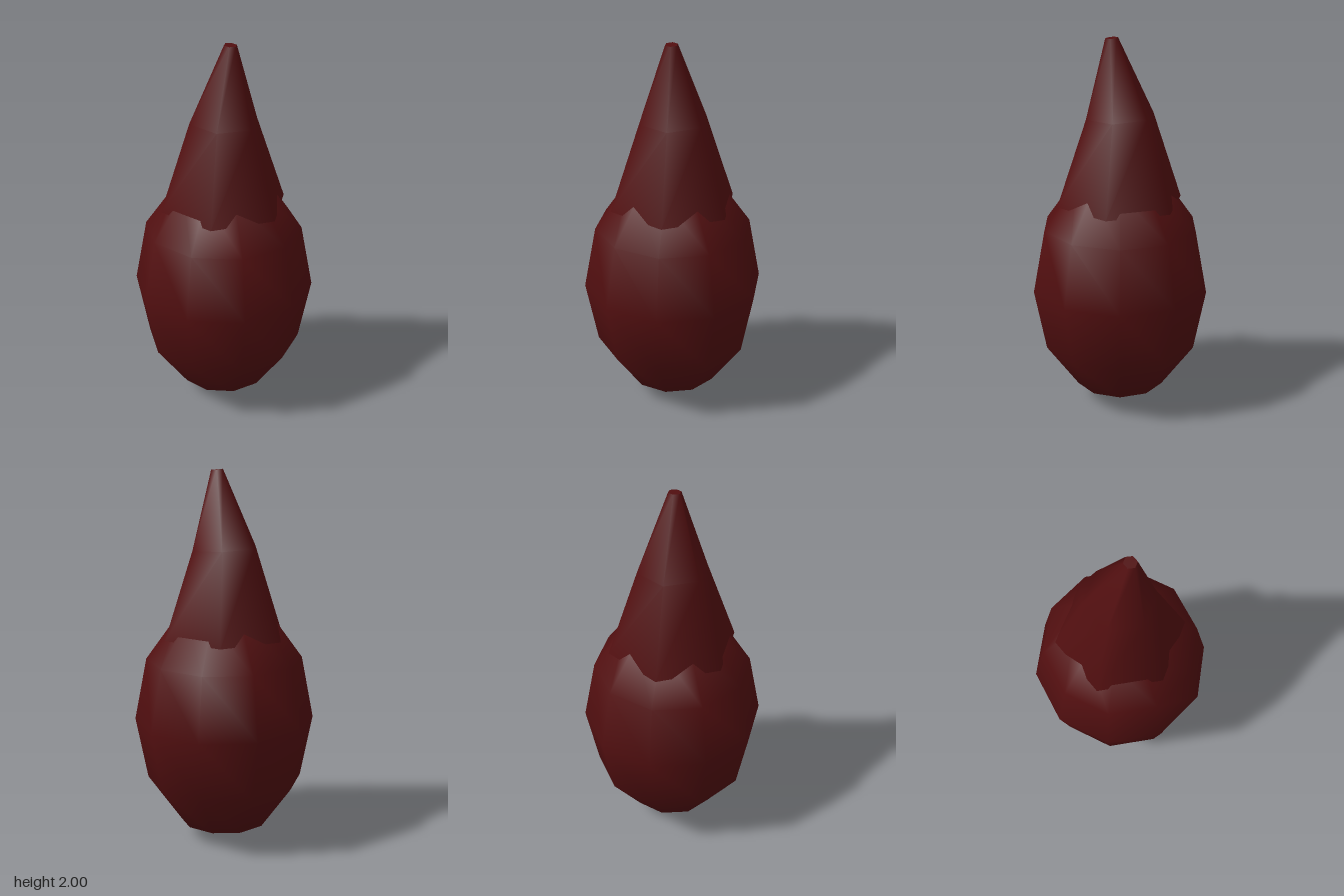
import * as THREE from 'three';
import { mergeVertices } from 'three/addons/utils/BufferGeometryUtils.js';

const darkRed = new THREE.MeshStandardMaterial({ color: 0x520f10 });
darkRed.name = 'dark red';

// Six-sided rings from bottom to top: height, radius, sideways shift, tilt
const rings = [
  { y: 1.13, r: 0.345, x: 0, tilt: 0 },
  { y: 1.593, r: 0.184, x: 0, tilt: -0.04 },
  { y: 1.997, r: 0.034, x: 0.045, tilt: -0.09 },
];

// Moves a unit-radius, flat point onto a ring
function place(ring, x, z) {
  return [ring.x + x * ring.r, ring.y + x * ring.r * ring.tilt, z * ring.r];
}

// Tapering bent side wall, welded so its shading stays smooth all round
function hatWall() {
  const g = new THREE.CylinderGeometry(1, 1, 2, 6, 2, true, Math.PI / 2);
  const p = g.attributes.position;
  for (let i = 0; i < p.count; i++) {
    const ring = rings[Math.round(p.getY(i)) + 1];
    p.setXYZ(i, ...place(ring, p.getX(i), p.getZ(i)));
  }
  g.deleteAttribute('uv');
  g.deleteAttribute('normal');
  const welded = mergeVertices(g, 1e-4);
  welded.computeVertexNormals();
  return welded;
}

// Flat end disc that follows a ring
function hatCap(ring, facing) {
  const g = new THREE.CircleGeometry(1, 6).rotateX(-facing * Math.PI / 2);
  const p = g.attributes.position;
  for (let i = 0; i < p.count; i++) {
    p.setXYZ(i, ...place(ring, p.getX(i), p.getZ(i)));
  }
  g.computeVertexNormals();
  return g;
}

export function createModel() {
  const model = new THREE.Group();
  const add = (name, geometry, parent = model) => {
    const mesh = new THREE.Mesh(geometry, darkRed);
    mesh.name = name;
    parent.add(mesh);
  };

  // Egg-shaped body
  const body = new THREE.SphereGeometry(1, 10, 6);
  body.scale(0.482, 0.667, 0.482).translate(0, 0.67, 0);
  add('body', body);

  // Pointed top leaning to one side
  const point = new THREE.Group();
  point.name = 'pointedTop';
  add('pointWall', hatWall(), point);
  add('pointBase', hatCap(rings[0], -1), point);
  add('pointTip', hatCap(rings[2], 1), point);
  model.add(point);

  return model;
}
